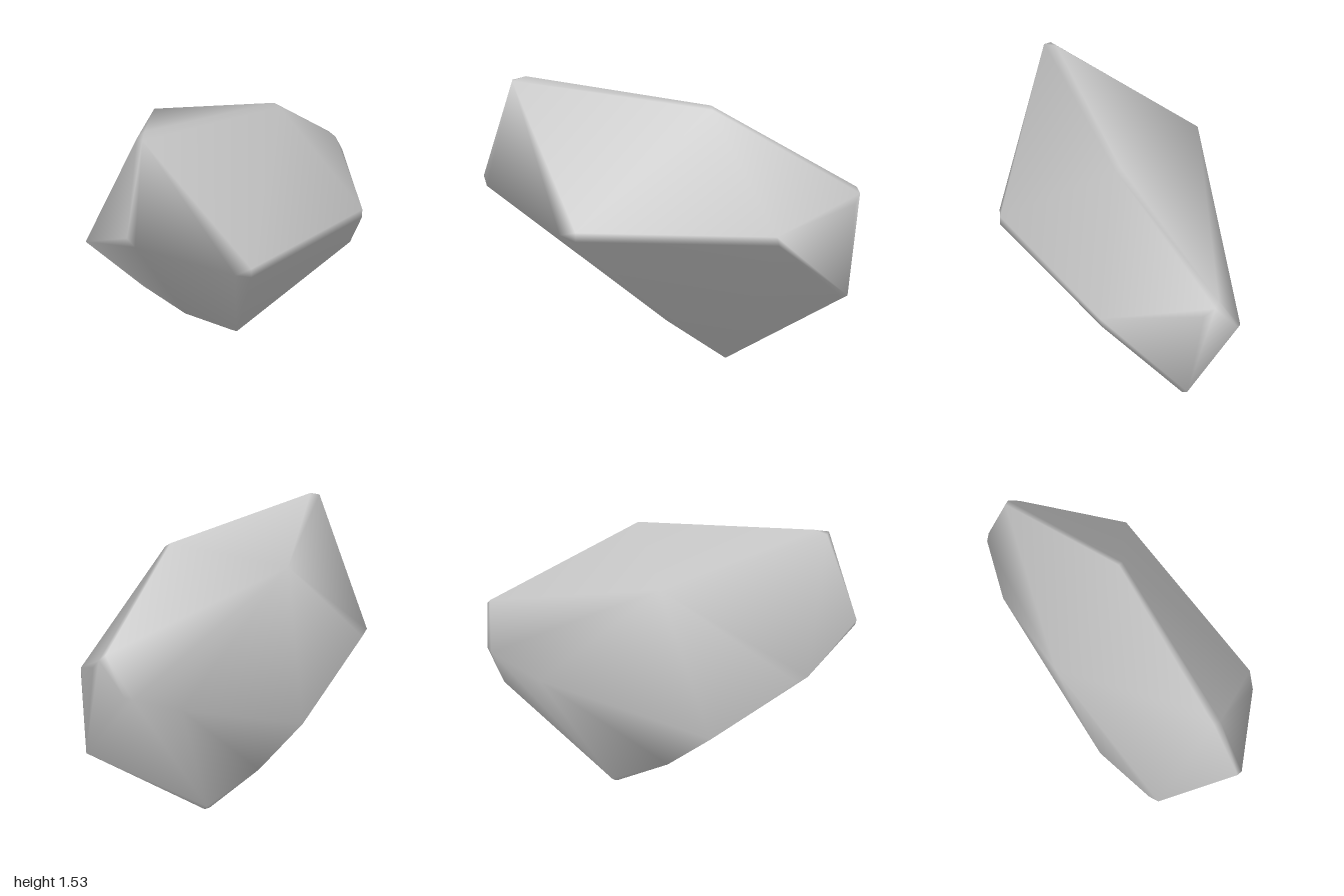
import * as THREE from 'three';
import { ConvexGeometry } from 'three/addons/geometries/ConvexGeometry.js';
import { mergeVertices } from 'three/addons/utils/BufferGeometryUtils.js';

// Corners of the boulder; most are chipped into two or three close points
const corners = [
  // top ridge
  [-0.85, 1.51, 0.04], [-0.78, 1.53, 0.0], [-0.85, 1.51, 0.0],
  [0.22, 1.4, 0.1], [0.23, 1.38, 0.13],
  // right-hand tip
  [-1, 1.0, 0.05], [-0.98, 0.95, 0.09],
  // front ledge
  [-0.47, 0.76, 0.48], [-0.47, 0.71, 0.48], [-0.56, 0.74, 0.44],
  [0.6, 0.74, 0.4], [0.61, 0.69, 0.39],
  // left-hand end
  [0.98, 0.94, -0.12], [1, 0.91, -0.09], [0.98, 0.86, -0.03],
  [0.96, 0.72, -0.24], [0.93, 0.71, -0.27],
  [0.945, 0.38, 0.05], [0.92, 0.37, 0.07],
  // foot
  [0.27, 0, -0.19], [0.25, 0.01, -0.21], [0.28, 0.02, -0.215],
  [-0.05, 0.18, -0.29],
  // back
  [-0.06, 1.31, -0.49], [0.64, 0.62, -0.36], [-0.31, 0.4, -0.37],
  [-0.84, 0.83, -0.35], [-0.78, 0.8, -0.37],
];

export function createModel() {
  const group = new THREE.Group();
  group.name = 'boulder';

  const stone = new THREE.MeshStandardMaterial({ color: 0xc8c8c8 });
  stone.name = 'pale grey stone';

  // Convex stone with shared corners, so the large faces blend softly at the chips
  const hull = new ConvexGeometry(corners.map((p) => new THREE.Vector3(...p)));
  hull.deleteAttribute('normal');
  const smoothHull = mergeVertices(hull);
  smoothHull.computeVertexNormals();

  const rock = new THREE.Mesh(smoothHull, stone);
  rock.name = 'rock';
  group.add(rock);
  return group;
}
